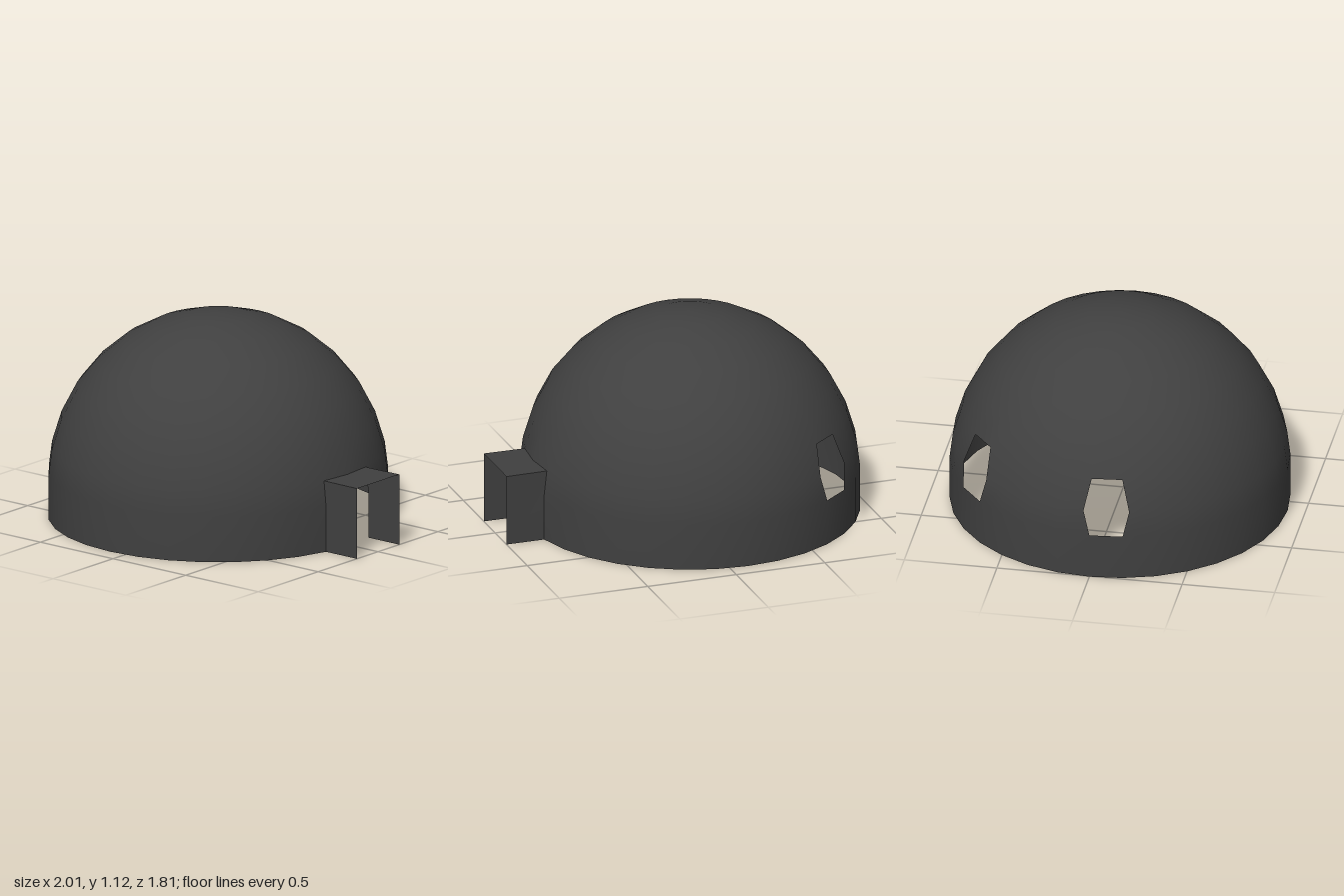
import * as THREE from 'three';

const SEG = 32, R = 0.905, CX = -0.1, DOOR_Z = 0.177;
// ring heights from the ground up to just under the crown
const HEIGHTS = [0, 0.25, 0.388, 0.556, 0.718, 0.856, 0.971, 1.055, 1.107];
const CROWN = 1.124;
const WINDOWS = [15, 20]; // column index of each one-column window
const DOOR = [SEG - 1, 0]; // columns left open for the entrance

const material = new THREE.MeshStandardMaterial({ color: 0x404040, side: THREE.DoubleSide });

function ringRadius(row) {
  return R * Math.cos(Math.max(row - 1, 0) * Math.PI / 16);
}

function meshFrom(name, positions, indices) {
  const g = new THREE.BufferGeometry();
  g.setAttribute('position', new THREE.Float32BufferAttribute(positions, 3));
  g.setIndex(indices);
  g.computeVertexNormals();
  const m = new THREE.Mesh(g, material);
  m.name = name;
  return m;
}

// flat polygon, fanned from its first corner
function panel(name, corners) {
  const idx = [];
  for (let i = 1; i < corners.length - 1; i++) idx.push(0, i, i + 1);
  return meshFrom(name, corners.flat(), idx);
}

// thin shell with smooth normals, window and door faces left out
function createDome() {
  const pos = [], idx = [];
  HEIGHTS.forEach((y, row) => {
    const r = ringRadius(row);
    for (let i = 0; i < SEG; i++) {
      // the middle ring of a window is spread sideways
      let shift = 0;
      if (row === 2 && WINDOWS.includes(i)) shift = -0.035;
      if (row === 2 && WINDOWS.includes(i - 1)) shift = 0.035;
      const a = i / SEG * Math.PI * 2;
      pos.push(CX + r * Math.cos(a) - shift * Math.sin(a), y, r * Math.sin(a) + shift * Math.cos(a));
    }
  });
  const pole = HEIGHTS.length * SEG;
  pos.push(CX, CROWN, 0);

  for (let row = 0; row < HEIGHTS.length; row++) {
    for (let i = 0; i < SEG; i++) {
      const isWindow = (row === 1 || row === 2) && WINDOWS.includes(i);
      const isDoor = row < 2 && DOOR.includes(i);
      if (isWindow || isDoor) continue;
      const a = row * SEG + i, b = row * SEG + (i + 1) % SEG;
      if (row === HEIGHTS.length - 1) idx.push(a, pole, b);
      else idx.push(a, a + SEG, b, b, a + SEG, b + SEG);
    }
  }
  return meshFrom('dome', pos, idx);
}

// open porch: two side walls and a roof whose back edges follow the dome
function createEntrance() {
  const porch = new THREE.Group();
  porch.name = 'entrance';
  const top = HEIGHTS[2], c = Math.cos(Math.PI / 16);
  const xLow = CX + R * c, xTop = CX + ringRadius(2) * c, xMid = CX + ringRadius(2);
  const zTop = ringRadius(2) * Math.sin(Math.PI / 16);

  for (const s of [1, -1]) {
    const z = s * DOOR_Z;
    const wall = [[1, 0, z], [1, top, z], [xTop, top, s * zTop], [xLow, HEIGHTS[1], z], [xLow, 0, z]];
    if (s < 0) wall.reverse();
    // keep the fan centre on the outer lower corner
    if (s < 0) wall.unshift(wall.pop());
    porch.add(panel(s > 0 ? 'frontWall' : 'backWall', wall));
  }
  porch.add(panel('porchRoof', [
    [1, top, DOOR_Z], [1, top, -DOOR_Z], [xTop, top, -zTop], [xMid, top, 0], [xTop, top, zTop],
  ]));
  return porch;
}

export function createModel() {
  const model = new THREE.Group();
  model.name = 'domeShelter';
  model.add(createDome(), createEntrance());
  return model;
}
